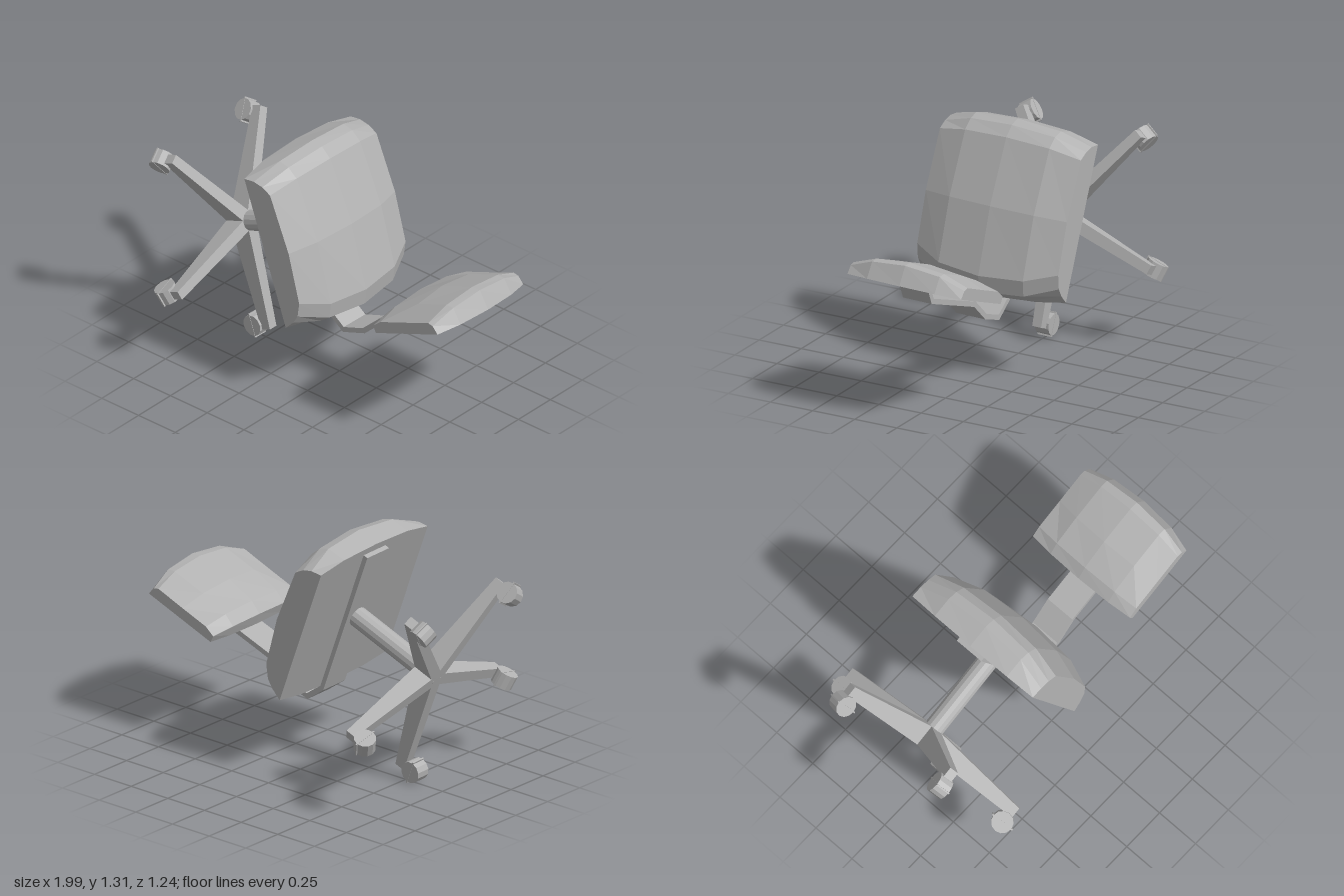
import * as THREE from 'three';

const grey = new THREE.MeshStandardMaterial({ color: 0xb2b2b2, flatShading: true });
grey.name = 'grey';

function part(name, geometry, parent) {
  const mesh = new THREE.Mesh(geometry, grey);
  mesh.name = name;
  parent.add(mesh);
  return mesh;
}

// Padded cushion: profiles blend from the side outline to the fuller middle outline
function cushion(side, middle, stations) {
  const n = side.length;
  const pos = [], index = [];
  for (const [z, t] of stations) {
    side.forEach((p, i) => pos.push(
      p[0] + (middle[i][0] - p[0]) * t, p[1] + (middle[i][1] - p[1]) * t, z));
  }
  for (let j = 0; j < stations.length - 1; j++) {
    for (let i = 0; i < n; i++) {
      const k = (i + 1) % n;
      const a = j * n + i, b = a + n, c = j * n + k, d = c + n;
      index.push(a, b, c, c, b, d);
    }
  }
  const last = (stations.length - 1) * n;
  for (let i = 1; i < n - 1; i++) {
    index.push(0, i, i + 1, last, last + i + 1, last + i);
  }
  const g = new THREE.BufferGeometry();
  g.setAttribute('position', new THREE.Float32BufferAttribute(pos, 3));
  g.setIndex(index);
  g.computeVertexNormals();
  return g;
}

// Flat bent strip of constant thickness following a path in the x-y plane
function strip(path, thickness, width) {
  const pts = path.map(p => new THREE.Vector2(...p));
  const offset = s => pts.map((p, i) => {
    const d0 = pts[i].clone().sub(pts[Math.max(i - 1, 0)]).normalize();
    const d1 = pts[Math.min(i + 1, pts.length - 1)].clone().sub(p).normalize();
    const d = d0.clone().add(d1).normalize();
    const ref = i === 0 ? d1 : d0;
    const k = s * thickness / 2 / ref.dot(d);
    return new THREE.Vector2(p.x - d.y * k, p.y + d.x * k);
  });
  const shape = new THREE.Shape([...offset(1), ...offset(-1).reverse()]);
  return new THREE.ExtrudeGeometry(shape, { depth: width, bevelEnabled: false })
    .translate(0, 0, -width / 2);
}

// Tapered leg running out along +x
function legGeometry() {
  const g = new THREE.BoxGeometry(1, 1, 1);
  const p = g.attributes.position;
  for (let i = 0; i < p.count; i++) {
    const outer = p.getX(i) > 0, top = p.getY(i) > 0, s = Math.sign(p.getZ(i));
    const y = outer ? (top ? -0.045 : -0.105) : (top ? 0.015 : -0.11);
    p.setXYZ(i, outer ? 0.6 : 0, y, s * (outer ? 0.026 : 0.034));
  }
  g.computeVertexNormals();
  return g;
}

export function createModel() {
  const model = new THREE.Group();
  model.name = 'tippedOfficeChair';

  // The chair is built upright around its hub, facing -x, then tipped over
  const chair = new THREE.Group();
  chair.name = 'chair';
  chair.position.set(-0.62, 0.66, -0.008);
  chair.rotation.set(-0.01, -0.022, -1.204, 'ZYX');
  model.add(chair);

  // Five-legged base with casters
  const leg = legGeometry();
  const wheel = new THREE.CylinderGeometry(0.058, 0.058, 0.08, 12).rotateX(Math.PI / 2);
  const plate = new THREE.BoxGeometry(0.132, 0.008, 0.084);
  for (let i = 0; i < 5; i++) {
    const arm = new THREE.Group();
    arm.name = 'baseArm' + (i + 1);
    arm.rotation.y = i * Math.PI * 2 / 5;
    part('leg', leg, arm);
    part('casterWheel', wheel, arm).position.set(0.575, -0.153, 0);
    part('casterPlate', plate, arm).position.set(0.575, -0.153, 0);
    chair.add(arm);
  }

  // Central column
  part('column', new THREE.CylinderGeometry(0.055, 0.055, 0.49, 14), chair)
    .position.set(0, 0.24, 0);

  // Bent bar under the seat and up to the backrest
  part('supportBar', strip([
    [-0.42, 0.484], [0.459, 0.487], [0.561, 0.554], [0.565, 0.699],
    [0.507, 0.847], [0.514, 1.319], [0.455, 1.38],
  ], 0.028, 0.17), chair);

  // Seat
  part('seat', cushion(
    [[-0.415, 0.497], [-0.40, 0.56], [-0.37, 0.61], [-0.325, 0.65], [0, 0.667],
      [0.279, 0.643], [0.35, 0.605], [0.385, 0.56], [0.415, 0.497]],
    [[-0.463, 0.497], [-0.462, 0.626], [-0.426, 0.677], [-0.359, 0.711], [0.004, 0.737],
      [0.369, 0.711], [0.449, 0.669], [0.463, 0.593], [0.455, 0.497]],
    [[-0.418, 0], [-0.25, 0.75], [0, 1], [0.25, 0.75], [0.418, 0]]), chair);

  // Backrest
  part('backrest', cushion(
    [[0.464, 1.055], [0.423, 1.05], [0.402, 1.11], [0.402, 1.28], [0.4, 1.455],
      [0.417, 1.482], [0.464, 1.5]],
    [[0.464, 1.037], [0.397, 1.037], [0.359, 1.105], [0.335, 1.273], [0.337, 1.489],
      [0.355, 1.536], [0.464, 1.555]],
    [[-0.337, 0], [-0.2, 0.72], [0, 1], [0.2, 0.72], [0.337, 0]]), chair);

  return model;
}
